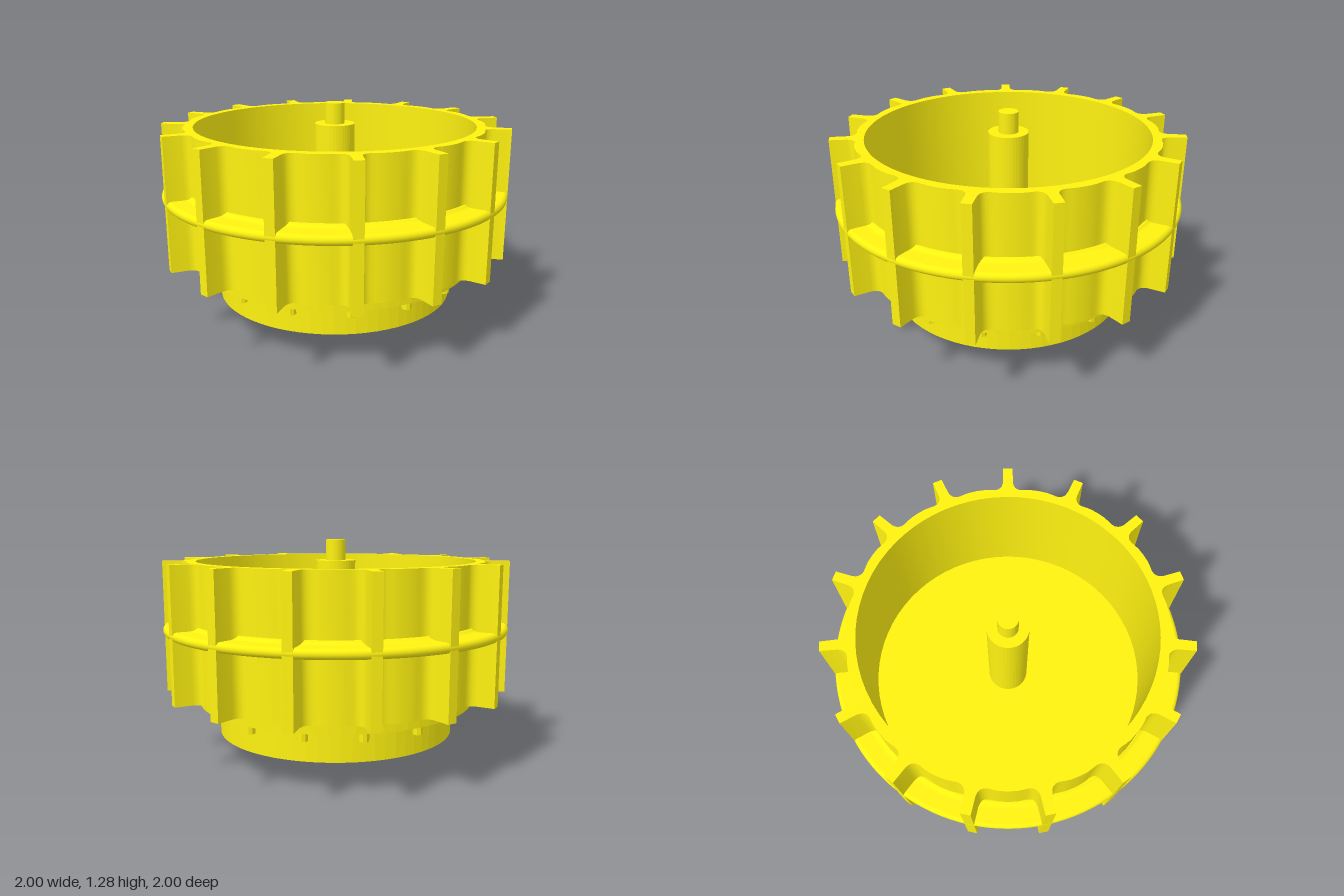
import * as THREE from 'three';
import { toCreasedNormals } from 'three/addons/utils/BufferGeometryUtils.js';

const COUNT = 15;
const STEP = (Math.PI * 2) / COUNT;
const V = (x, y) => new THREE.Vector2(x, y);

export function createModel() {
  const model = new THREE.Group();
  const smooth = new THREE.MeshStandardMaterial({ color: 0xfff210 });
  const faceted = new THREE.MeshStandardMaterial({ color: 0xfff210, flatShading: true });

  function add(name, geometry, material = faceted, parent = model) {
    const mesh = new THREE.Mesh(geometry, material);
    mesh.name = name;
    parent.add(mesh);
    return mesh;
  }
  function cylinder(name, radius, bottom, top, sides) {
    const g = new THREE.CylinderGeometry(radius, radius, top - bottom, sides);
    g.translate(0, (bottom + top) / 2, 0);
    return add(name, g);
  }

  // Ribbed wall: one outline with ribs, rounded roots and a shallow bulge in every gap
  const rib = [[-0.029, 0.9], [-0.027, 0.998], [0.027, 0.998], [0.029, 0.9]];
  const half = [[-9.8, 0.882], [-9.2, 0.869], [-8.2, 0.859], [-6.8, 0.856], [-5, 0.86], [-3, 0.864]];
  const gap = [...half, [0, 0.865], ...half.map(([d, r]) => [-d, r]).reverse()];
  const outline = [];
  for (let i = 0; i < COUNT; i++) {
    const a = i * STEP;
    for (const [x, y] of rib) {
      outline.push(V(x * Math.cos(a) + y * Math.sin(a), y * Math.cos(a) - x * Math.sin(a)));
    }
    for (const [deg, r] of gap) {
      const b = a + STEP / 2 + THREE.MathUtils.degToRad(deg);
      outline.push(V(r * Math.sin(b), r * Math.cos(b)));
    }
  }
  const shape = new THREE.Shape(outline);
  // The outline runs clockwise, so the bore runs the other way
  shape.holes.push(new THREE.Path().absarc(0, 0, 0.808, 0, Math.PI * 2, false));
  const wall = new THREE.ExtrudeGeometry(shape, { depth: 0.759, bevelEnabled: false, curveSegments: 36 });
  wall.rotateX(-Math.PI / 2).translate(0, 0.402, 0);
  add('ribbedWall', toCreasedNormals(wall, 0.6), smooth);

  // Rounded hoop around the middle of the wall, with a small fillet at its root
  const upper = [[0.83, 0.03], [0.852, 0.038], [0.865, 0.047], [0.873, 0.037], [0.885, 0.03], [0.9, 0.027]];
  const hoop = upper.map(([r, y]) => V(r, -y));
  for (let i = 0; i <= 10; i++) {
    const t = -Math.PI / 2 + (i / 10) * Math.PI;
    hoop.push(V(0.973 + 0.027 * Math.cos(t), 0.027 * Math.sin(t)));
  }
  hoop.push(...upper.map(([r, y]) => V(r, y)).reverse());
  const hoopMesh = add('hoop', new THREE.LatheGeometry(hoop, 120), smooth);
  hoopMesh.position.y = 0.78;

  // Thick floor of the cup, showing below as a flange
  cylinder('floorFlange', 0.808, 0.343, 0.457, 72);

  // Lower drum with an open recess
  add('lowerDrum', new THREE.LatheGeometry(
    [V(0, 0.341), V(0.46, 0.341), V(0.46, 0.158), V(0.692, 0.158), V(0.692, 0.35)], 72));

  // Domed underside
  const dome = new THREE.SphereGeometry(0.347, 48, 20, 0, Math.PI * 2, Math.PI / 2, Math.PI / 2);
  dome.translate(0, 0.347, 0);
  add('dome', dome);

  // Pegs under the flange, one below each rib
  const pegs = new THREE.Group();
  pegs.name = 'pegs';
  model.add(pegs);
  for (let i = 0; i < COUNT; i++) {
    const peg = add('peg', new THREE.CylinderGeometry(0.027, 0.027, 0.065, 8), faceted, pegs);
    peg.position.set(0.745 * Math.sin(i * STEP), 0.3205, -0.745 * Math.cos(i * STEP));
  }

  // Centre post and its pin
  cylinder('centrePost', 0.115, 0.45, 1.161, 40);
  cylinder('pin', 0.057, 1.15, 1.28, 32);

  return model;
}
